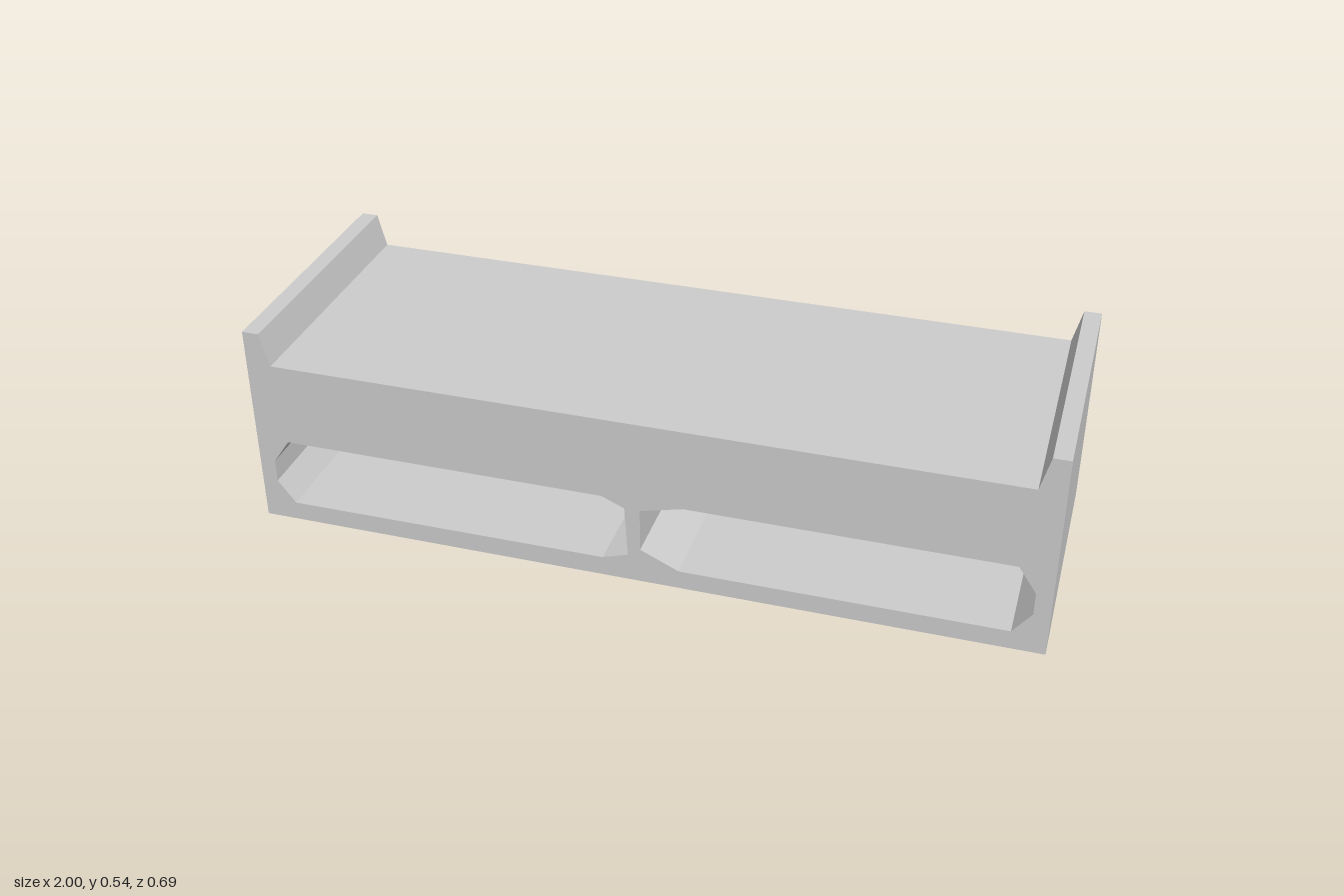
import * as THREE from 'three';

const DEPTH = 0.69;

function toPoints(pairs) {
  return pairs.map(([x, y]) => new THREE.Vector2(x, y));
}

export function createModel() {
  const group = new THREE.Group();
  group.name = 'lowBench';
  const material = new THREE.MeshStandardMaterial({ color: 0xcccccc, flatShading: true });

  // Front outline: thick slab with a tapered raised lip at each end
  const half = [[1, 0], [1, 0.54], [0.957, 0.54], [0.935, 0.453]];
  const mirrored = half.map(([x, y]) => [-x, y]).reverse();
  const outline = new THREE.Shape(toPoints([...half, ...mirrored]));

  // Two chamfered openings running from front to back, divided by a thin post
  const rightOpening = [
    [-0.915, 0.05], [-0.96, 0.11], [-0.96, 0.17], [-0.915, 0.235],
    [-0.085, 0.235], [-0.027, 0.21], [-0.02, 0.073], [-0.085, 0.052],
  ];
  const leftOpening = [
    [0.915, 0.05], [0.96, 0.11], [0.96, 0.17], [0.915, 0.237],
    [0.12, 0.237], [0.012, 0.21], [0.012, 0.095], [0.11, 0.05],
  ];
  for (const opening of [rightOpening, leftOpening]) {
    outline.holes.push(new THREE.Path(toPoints(opening)));
  }

  const geometry = new THREE.ExtrudeGeometry(outline, { depth: DEPTH, bevelEnabled: false });
  geometry.translate(0, 0, -DEPTH / 2);
  const body = new THREE.Mesh(geometry, material);
  body.name = 'benchBody';
  group.add(body);

  return group;
}
